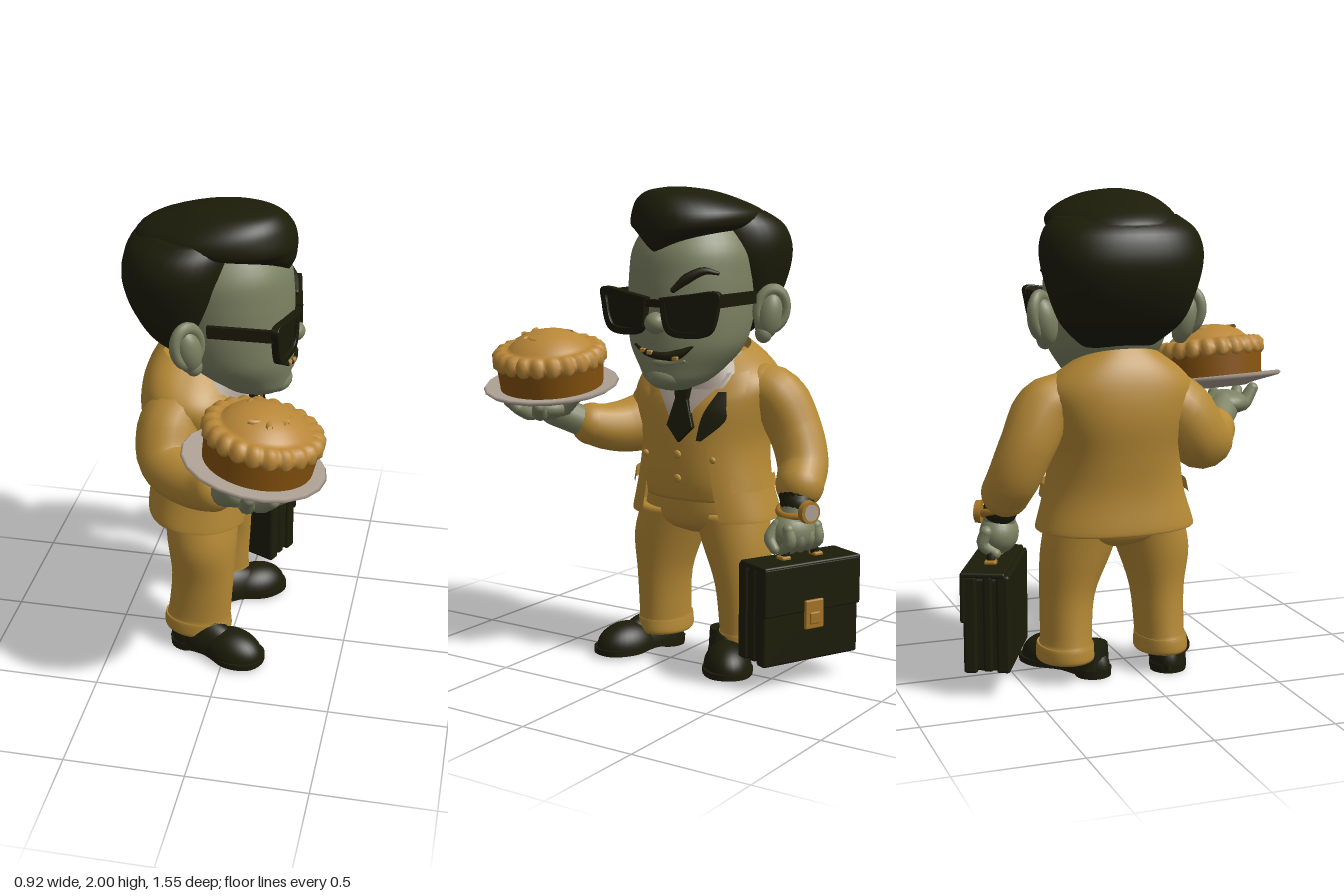
import * as THREE from 'three';
import { RoundedBoxGeometry } from 'three/addons/geometries/RoundedBoxGeometry.js';

const PI = Math.PI;
const paint = (name, color) => new THREE.MeshStandardMaterial({ name, color, side: THREE.DoubleSide });
const suit = paint('mustard suit', 0xb58935);
const skin = paint('grey green skin', 0x7c8262);
const dark = paint('dark olive', 0x1c1c09);
const black = paint('sunglasses black', 0x191908);
const white = paint('warm white', 0xada094);
const crust = paint('pie crust', 0xb98738);
const filling = paint('pie side', 0x87530e);
const gold = paint('brass', 0xa57526);

function add(parent, name, geo, mat, pos = [0, 0, 0], rot = [0, 0, 0], scale = [1, 1, 1]) {
  const m = new THREE.Mesh(geo, mat);
  m.name = name;
  m.position.set(...pos);
  m.rotation.set(...rot);
  m.scale.set(...scale);
  parent.add(m);
  return m;
}
const ball = (parent, name, mat, pos, size, rot) =>
  add(parent, name, new THREE.SphereGeometry(1, 24, 16), mat, pos, rot, size);

// Rings [y, cx, cz, rx, rz, power, tilt, startAngle, endAngle], bottom to top; angle 0 is the front
function loft(input, seg = 40, steps = 4) {
  const rings = input.map(r => [0, 0, 0, 0, 0, 2, 0, -PI, PI].map((d, k) => r[k] ?? d));
  const closed = rings[0][8] - rings[0][7] > 6.28;
  const cols = closed ? seg : seg + 1, pos = [], idx = [];
  const at = i => rings[Math.min(Math.max(i, 0), rings.length - 1)];
  const spow = (v, n) => Math.sign(v) * Math.pow(Math.abs(v), 2 / n);
  const rows = (rings.length - 1) * steps + 1;
  for (let j = 0; j < rows; j++) {
    const i = Math.min(Math.floor(j / steps), rings.length - 2), t = j / steps - i;
    const [y, cx, cz, rx, rz, n, tilt, a0, a1] = at(i).map((p1, k) => {
      const p0 = at(i - 1)[k], p2 = at(i + 1)[k], p3 = at(i + 2)[k];
      return p1 + 0.5 * t * (p2 - p0 + t * (2 * p0 - 5 * p1 + 4 * p2 - p3 + t * (3 * (p1 - p2) + p3 - p0)));
    });
    for (let c = 0; c < cols; c++) {
      const a = a0 + (a1 - a0) * c / seg, s = Math.sin(a), k = Math.cos(a);
      pos.push(cx + rx * spow(s, n), y - tilt * k * rz, cz + rz * spow(k, n));
    }
  }
  for (let j = 0; j < rows - 1; j++) for (let c = 0; c < seg; c++) {
    const d = (c + 1) % cols, a = j * cols;
    idx.push(a + c, a + d, a + cols + d, a + c, a + cols + d, a + cols + c);
  }
  if (closed) {
    const b = at(0), e = at(99), v = rows * cols, top = (rows - 1) * cols;
    pos.push(b[1], b[0], b[2], e[1], e[0], e[2]);
    for (let c = 0; c < seg; c++) {
      const d = (c + 1) % cols;
      idx.push(v, d, c, v + 1, top + c, top + d);
    }
  }
  const g = new THREE.BufferGeometry();
  g.setAttribute('position', new THREE.Float32BufferAttribute(pos, 3));
  g.setIndex(idx);
  g.computeVertexNormals();
  return g;
}

// Tapered round limb through [x, y, z, radius] points, with rounded ends
function limb(parent, name, mat, pts, seg = 20, radial = 16) {
  const curve = new THREE.CatmullRomCurve3(pts.map(p => new THREE.Vector3(p[0], p[1], p[2])));
  const g = new THREE.TubeGeometry(curve, seg, 1, radial);
  const p = g.attributes.position, n = g.attributes.normal;
  for (let i = 0; i < p.count; i++) {
    const t = Math.floor(i / (radial + 1)) / seg, c = curve.getPointAt(t);
    const f = t * (pts.length - 1), k = Math.min(Math.floor(f), pts.length - 2);
    const r = pts[k][3] + (pts[k + 1][3] - pts[k][3]) * (f - k);
    p.setXYZ(i, c.x + n.getX(i) * r, c.y + n.getY(i) * r, c.z + n.getZ(i) * r);
  }
  add(parent, name, g, mat);
  for (const e of [pts[0], pts[pts.length - 1]]) ball(parent, name + 'End', mat, e.slice(0, 3), [e[3], e[3], e[3]]);
}
const shapeOf = pts => new THREE.Shape(new THREE.SplineCurve([...pts, pts[0]].map(p => new THREE.Vector2(...p))).getPoints(40));

function buildHead(b) {
  const X = 0.085;
  add(b, 'head', loft([[1.185, X, .09, .05, .06], [1.22, X, .07, .125, .14], [1.28, X, .03, .18, .195], [1.36, X, 0, .235, .235],
    [1.45, X, -.02, .255, .255], [1.55, X, -.03, .26, .265], [1.65, X, -.04, .26, .27], [1.75, X, -.05, .25, .265], [1.85, X, -.06, .2, .22]]), skin);
  add(b, 'neck', new THREE.CylinderGeometry(.13, .14, .25, 24), skin, [X, 1.22, -.12]);
  ball(b, 'chin', skin, [X, 1.245, .16], [.085, .055, .07]);
  ball(b, 'nose', skin, [X, 1.465, .225], [.05, .045, .055]);
  // hair: rounded back and a swept top that overhangs the forehead
  add(b, 'hairBack', loft([[1.38, X, -.18, .15, .06], [1.44, X, -.21, .22, .11], [1.5, X, -.22, .265, .155, 2.2], [1.6, X, -.222, .3, .21, 2.3],
    [1.7, X, -.22, .325, .24, 2.3], [1.78, X, -.21, .33, .245, 2.2], [1.85, X, -.19, .305, .235, 2.1], [1.9, X, -.15, .25, .2]]), dark);
  add(b, 'hairTop', loft([[1.74, X - .02, .15, .03, .06], [1.785, X - .01, .09, .11, .145], [1.82, X, .01, .19, .23], [1.85, X, -.08, .25, .32, 2.1], [1.9, X, -.075, .255, .305],
    [1.95, X - .02, -.03, .2, .23], [1.985, X - .04, 0, .12, .15], [2, X - .05, .01, .03, .03]]), dark);
  for (const s of [-1, 1]) {
    // ears with a raised rim
    ball(b, 'ear', skin, [X + s * .3, 1.48, -.14], [.055, .1, .055], [0, s * .5, -s * .2]);
    ball(b, 'earLobe', skin, [X + s * .29, 1.41, -.12], [.035, .04, .035]);
    add(b, 'earRim', new THREE.TorusGeometry(.06, .02, 10, 28), skin, [X + s * .315, 1.51, -.14], [0, s * .75, -s * .15], [1, 1.3, 1.2]);
    // sunglasses
    const outline = [[-.11, .055], [0, .07], [.13, .085], [.135, .03], [.1, -.075], [0, -.095], [-.085, -.07]].map(([x, y]) => [x * s, y]);
    const frame = shapeOf(outline), inner = outline.map(([x, y]) => [x * .82, y * .78]);
    frame.holes.push(new THREE.Path(shapeOf(inner).getPoints()));
    const at = [X + s * .14, 1.51, .215], rot = [0, s * .18, 0];
    add(b, 'glassesFrame', new THREE.ExtrudeGeometry(frame, { depth: .025, bevelSize: .004, bevelThickness: .004, bevelSegments: 2 }), black, at, rot);
    add(b, 'lens', new THREE.ExtrudeGeometry(shapeOf(inner), { depth: .008, bevelEnabled: false }), black, [at[0], at[1], at[2] + .01], rot);
    add(b, 'glassesTemple', new THREE.BoxGeometry(.018, .05, .28), black, [X + s * .272, 1.56, .07], [0, -s * .02, 0]);
  }
  add(b, 'glassesBridge', new THREE.BoxGeometry(.08, .03, .025), black, [X, 1.545, .245]);
  limb(b, 'raisedBrow', dark, [[.165, 1.6, .228, .012], [.215, 1.645, .205, .022], [.27, 1.675, .165, .018], [.31, 1.665, .13, .008]], 12, 8);
  // crooked grin
  limb(b, 'mouth', dark, [[-.03, 1.37, .207, .006], [.02, 1.348, .222, .014], [.1, 1.335, .232, .016], [.17, 1.34, .215, .022], [.225, 1.375, .182, .008]], 20, 10);
  for (const [x, y, z] of [[.02, 1.352, .23], [.06, 1.346, .24], [.175, 1.328, .23]])
    add(b, 'tooth', new RoundedBoxGeometry(.028, .018, .016, 2, .005), crust, [x, y, z]);
  limb(b, 'lowerLip', skin, [[.01, 1.318, .2, .012], [.1, 1.305, .218, .018], [.19, 1.315, .19, .012]], 12, 8);
}

function buildSuit(b) {
  const X = 0.09;
  // jacket body, open at the front
  const jacket = [[.635, .33, -.14, .235, 0, .56], [.66, .325, -.14, .238, 0, .56], [.8, .285, -.13, .235, 0, .54], [.95, .27, -.14, .24, 0, .5], [1.1, .3, -.16, .24, 0, .5],
    [1.2, .315, -.175, .215, .1, .55], [1.27, .265, -.17, .19, .22, .8], [1.33, .175, -.16, .15, .35, 1.1]];
  add(b, 'jacket', loft(jacket.map(([y, rx, cz, rz, t, g]) => [y, X, cz, rx, rz, 2.3, t, g, 2 * PI - g]), 60), suit);
  add(b, 'vest', loft([[.715, X, -.13, .25, .2, 2.3], [.8, X, -.13, .255, .215, 2.3], [.95, X, -.14, .25, .22, 2.3], [1.1, X, -.16, .27, .22, 2.3],
    [1.2, X, -.17, .27, .19, 2.2, .1], [1.29, X, -.16, .18, .15, 2, .3]]), suit);
  for (const s of [-1, 1]) {
    const patch = (name, mat, rows) => add(b, name, loft(rows.map(([y, rx, cz, rz, t, a, c]) =>
      [y, X, cz, rx, rz, 2.3, t, ...(s > 0 ? [a, c] : [-c, -a])]), 10), mat);
    patch('lapel', suit, [[.96, .285, -.14, .255, 0, .46, .5], [1.06, .31, -.153, .256, 0, .42, .72], [1.14, .322, -.163, .25, .03, .42, .95], [1.2, .328, -.172, .232, .1, .5, .9], [1.28, .27, -.165, .2, .24, .78, 1.15]]);
    if (s > 0) patch('lapelTrim', dark, [[.98, .29, -.14, .262, 0, .32, .4], [1.06, .317, -.153, .264, 0, .33, .68], [1.12, .327, -.161, .26, .03, .38, .66], [1.2, .335, -.172, .24, .1, .48, .6]]);
    patch('pocketFlap', suit, [[.765, .308, -.133, .256, 0, .85, 1.9], [.82, .298, -.13, .248, 0, .85, 1.9]]);
    patch('shirtFront', white, [[1.0, .27, -.145, .235, 0, 0, .03], [1.1, .28, -.16, .232, 0, 0, .2], [1.2, .285, -.168, .208, .1, 0, .46], [1.28, .235, -.165, .18, .25, 0, .85]]);
    patch('shirtCollar', white, [[1.21, .24, -.15, .195, .15, .15, 1.5], [1.32, .165, -.125, .165, .3, .25, 1.7]]);
    ball(b, 'jacketButton', suit, [X + s * .165, .9, .075], [.014, .014, .01]);
  }
  // tie and vest buttons
  const tie = new THREE.Shape([[-.035, .23], [.035, .23], [.024, .17], [.06, .06], [0, 0], [-.055, .06], [-.024, .17]].map(p => new THREE.Vector2(...p)));
  add(b, 'tie', new THREE.ExtrudeGeometry(tie, { depth: .015, bevelSize: .005, bevelThickness: .005, bevelSegments: 2 }), dark, [.1, .97, .082], [-.14, 0, 0]);
  for (const y of [.91, .81]) ball(b, 'vestButton', suit, [X, y, .086], [.018, .018, .01]);
  // trousers
  add(b, 'trouserSeat', loft([[.56, X, -.13, .08, .09], [.59, X, -.13, .22, .15], [.64, X, -.13, .28, .175], [.76, X, -.13, .25, .18]]), suit);
  const legs = [[[-.115, .105], [-.112, .1], [-.105, .112], [-.085, .152], [-.04, .165]], [[.305, .115], [.3, .105], [.29, .112], [.255, .145], [.22, .16]]];
  for (const c of legs)
    add(b, 'trouserLeg', loft([[.085, c[0][0], -.135, c[0][1], .135], [.1, c[0][0], -.135, c[0][1] + .004, .148], [.15, c[0][0], -.135, c[0][1], .145],
      [.165, c[1][0], -.13, c[1][1], .138], [.35, c[2][0], -.115, c[2][1], .135], [.52, c[3][0], -.12, c[3][1], .15], [.66, c[4][0], -.13, c[4][1], .16]]), suit);
}

// Shoe pointing along +z
function buildShoe(b, x, z, yaw) {
  const g = new THREE.Group();
  g.name = 'shoe';
  g.position.set(x, 0, z);
  g.rotation.y = yaw;
  b.add(g);
  const sole = shapeOf([[0, -.225], [.075, -.16], [.07, -.02], [.105, .1], [.075, .2], [0, .232], [-.075, .2], [-.105, .1], [-.07, -.02], [-.075, -.16]]);
  add(g, 'sole', new THREE.ExtrudeGeometry(sole, { depth: .025, bevelEnabled: false }), dark, [0, .038, 0], [PI / 2, 0, 0]);
  add(g, 'heel', new THREE.CylinderGeometry(.078, .075, .035, 24), dark, [0, .0175, -.14]);
  const dome = new THREE.SphereGeometry(1, 28, 14, 0, 2 * PI, 0, PI / 2);
  add(g, 'toe', dome, dark, [0, .035, .085], [0, 0, 0], [.1, .1, .14]);
  add(g, 'instep', dome, dark, [0, .035, -.05], [0, 0, 0], [.08, .125, .17]);
  add(g, 'shoeAnkle', new THREE.CylinderGeometry(.07, .076, .1, 24), dark, [0, .085, -.13]);
}

function buildArms(b) {
  limb(b, 'loweredSleeve', suit, [[.335, 1.17, -.18, .11], [.395, 1.15, -.19, .12], [.48, 1.0, -.21, .112], [.53, .87, -.185, .107], [.548, .8, -.13, .1]]);
  limb(b, 'loweredCuff', dark, [[.55, .77, -.11, .08], [.56, .725, -.09, .07]], 6);
  limb(b, 'loweredWrist', skin, [[.56, .74, -.09, .06], [.56, .65, -.06, .068]], 6);
  ball(b, 'fist', skin, [.56, .62, -.06], [.08, .085, .1], [0, -.43, 0]);
  for (let i = 0; i < 4; i++) {
    const x = .63 - i * .018, z = -.12 + i * .044;
    limb(b, 'grippingFinger', skin, [[x, .64, z, .026], [x + .012, .59, z + .005, .026], [x - .035, .55, z - .01, .022]], 8, 10);
  }
  limb(b, 'grippingThumb', skin, [[.52, .65, .0, .026], [.505, .6, .035, .026], [.53, .56, .04, .02]], 8, 10);
  // wristwatch
  add(b, 'watchStrap', new THREE.TorusGeometry(.07, .016, 10, 28), gold, [.56, .71, -.08], [PI / 2 + .3, 0, 0]);
  add(b, 'watchCase', new THREE.CylinderGeometry(.045, .048, .025, 24), gold, [.64, .71, -.045], [0, -.43, -PI / 2]);
  add(b, 'watchFace', new THREE.CylinderGeometry(.034, .034, .006, 24), white, [.653, .71, -.039], [0, -.43, -PI / 2]);

  limb(b, 'raisedSleeve', suit, [[-.11, 1.16, -.2, .125], [-.165, 1.11, -.23, .135], [-.24, 1.0, -.22, .132], [-.31, .965, -.14, .122], [-.37, .965, -.05, .108], [-.41, .98, .0, .092]]);
  limb(b, 'raisedWrist', skin, [[-.43, .99, .03, .065], [-.51, 1.05, .13, .068]], 6);
  ball(b, 'palm', skin, [-.53, 1.065, .16], [.1, .055, .1]);
  for (const [x, y, z] of [[-.675, 1.115, .19], [-.64, 1.095, .28], [-.55, 1.08, .335], [-.45, 1.09, .32], [-.39, 1.12, .13]])
    limb(b, 'supportingFinger', skin, [[-.53, 1.055, .16, .035], [(x - .56) / 2, 1.05, (z + .16) / 2, .034], [x, y, z, .025]], 10, 10);
}

function buildPie(b) {
  const g = new THREE.Group();
  g.name = 'pieOnPlate';
  g.position.set(-.492, 1.16, .175);
  g.rotation.set(.17, 0, -.045);
  b.add(g);
  const lathe = (pts, n) => new THREE.LatheGeometry(pts.map(p => new THREE.Vector2(...p)), n);
  add(g, 'plate', lathe([[0, -.03], [.13, -.03], [.17, -.018], [.275, .0], [.288, .01], [.28, .02], [.18, .008], [0, .004]], 20), white);
  add(g, 'pieSide', new THREE.CylinderGeometry(.227, .217, .13, 48), filling, [.012, .07, .012]);
  // crust with a scalloped edge
  const top = lathe([[.2, .12], [.225, .112], [.236, .127], [.236, .148], [.222, .172], [.2, .182], [.182, .176], [.17, .188], [.14, .214], [.09, .236], [.04, .246], [0, .247]], 144);
  const p = top.attributes.position;
  for (let i = 0; i < p.count; i++) {
    const x = p.getX(i), z = p.getZ(i), edge = Math.max(0, Math.hypot(x, z) - .185) / .05;
    const wave = Math.abs(Math.cos(Math.atan2(z, x) * 11)) * edge;
    p.setXYZ(i, x * (.975 + .05 * wave), p.getY(i) + (p.getY(i) > .14 ? .014 : -.014) * (wave - .3 * edge), z * (.975 + .05 * wave));
  }
  top.computeVertexNormals();
  add(g, 'pieTop', top, crust, [.012, 0, .012]);
  // raised swirls on the crust
  for (const [x, z, a] of [[-.05, -.05, .3], [.06, -.04, 2.2], [.01, .05, 1.2], [-.08, .06, 4]])
    add(g, 'crustRidge', new THREE.TorusGeometry(.04, .012, 8, 20, 3), crust, [x, .226, z + .012], [PI / 2, 0, a]);
}

function buildCase(b) {
  const g = new THREE.Group();
  g.name = 'briefcase';
  g.position.set(.585, .305, -.07);
  g.rotation.set(0, -.435, 0);
  b.add(g);
  const box = (name, w, h, d, mat, pos, r = .012) => add(g, name, new RoundedBoxGeometry(w, h, d, 2, r), mat, pos);
  box('caseBack', .055, .4, .47, dark, [-.072, 0, 0]);
  box('caseMiddle', .15, .38, .445, dark, [0, -.005, 0]);
  box('caseRib', .04, .395, .46, dark, [-.01, 0, 0]);
  box('caseFront', .055, .4, .47, dark, [.06, -.003, 0]);
  box('caseFlap', .022, .2, .475, dark, [.088, .105, 0], .008);
  box('caseTop', .18, .022, .475, dark, [.008, .2, 0], .008);
  box('clasp', .018, .12, .09, gold, [.102, -.005, 0], .006);
  box('claspTab', .02, .05, .05, gold, [.106, -.02, 0], .006);
  add(g, 'caseHandle', new THREE.TorusGeometry(.075, .018, 10, 24, PI), dark, [0, .215, 0], [0, PI / 2, 0]);
  for (const s of [-1, 1]) box('handleMount', .05, .025, .045, gold, [0, .212, s * .08], .008);
}

export function createModel() {
  const model = new THREE.Group(), body = new THREE.Group();
  model.name = 'businessman';
  body.name = 'figure';
  body.rotation.y = PI / 2; // the figure looks along +x
  model.add(body);
  buildHead(body);
  buildSuit(body);
  buildShoe(body, -.18, -.045, -.33);
  buildShoe(body, .265, -.03, .58);
  buildArms(body);
  buildPie(body);
  buildCase(body);
  return model;
}
